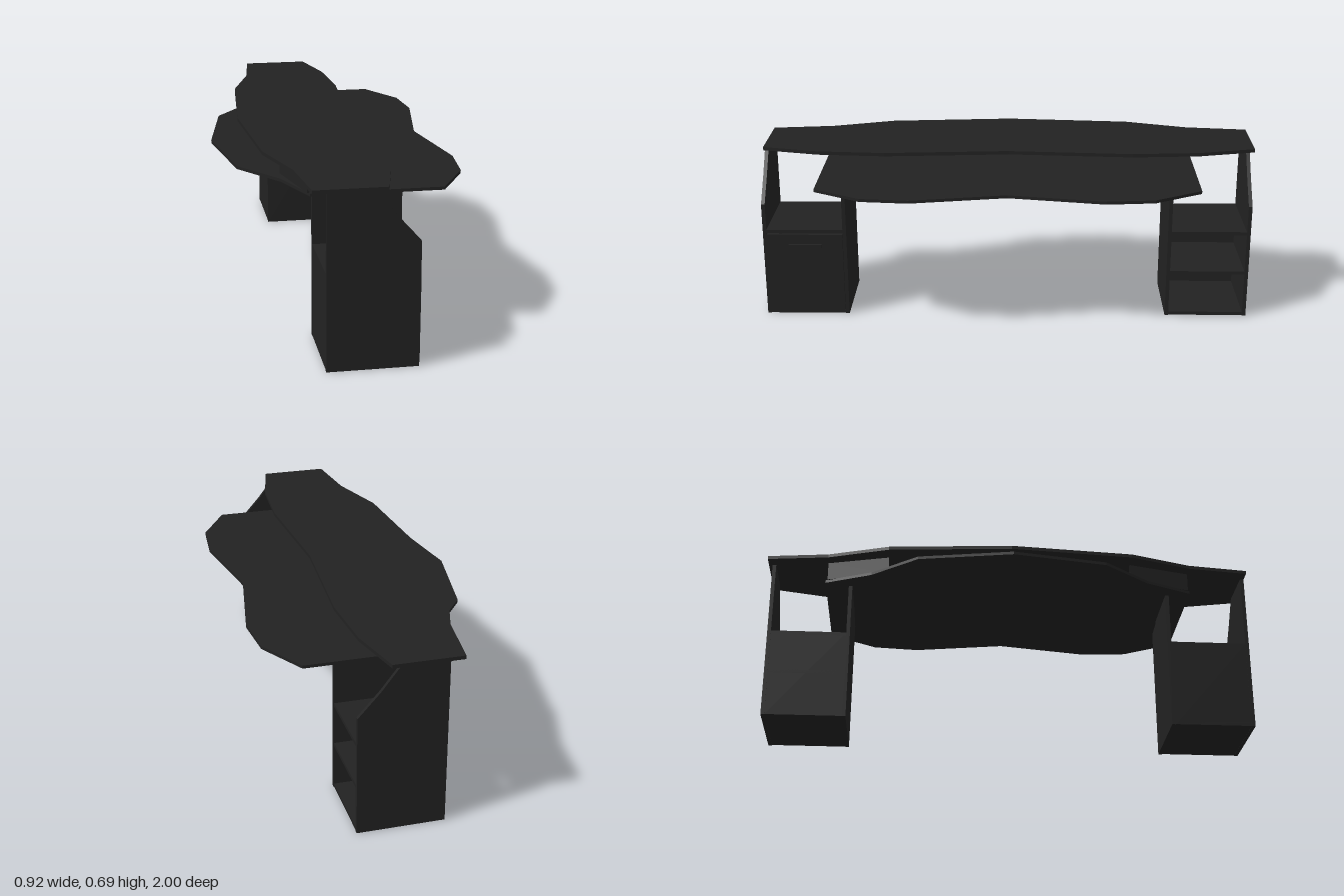
import * as THREE from 'three';

export function createModel() {
  const group = new THREE.Group();
  group.name = 'desk';
  const black = new THREE.MeshStandardMaterial({ color: 0x222222 });
  black.name = 'blackLaminate';

  const add = (name, geometry, parent = group) => {
    const mesh = new THREE.Mesh(geometry, black);
    mesh.name = name;
    parent.add(mesh);
    return mesh;
  };
  // Box given by its minimum and maximum corners
  const box = (name, a, b, parent) => {
    const mesh = add(name, new THREE.BoxGeometry(b[0] - a[0], b[1] - a[1], b[2] - a[2]), parent);
    mesh.position.set((a[0] + b[0]) / 2, (a[1] + b[1]) / 2, (a[2] + b[2]) / 2);
  };
  const extrude = (points, depth) => new THREE.ExtrudeGeometry(
    new THREE.Shape(points.map(p => new THREE.Vector2(...p))), { depth, bevelEnabled: false });

  // Horizontal slab from (x, z) outline points, with its top at y
  const slab = (name, points, top, thickness) => {
    const g = extrude(points, thickness);
    g.rotateX(Math.PI / 2);
    add(name, g).position.y = top;
  };
  // Outline symmetric about z = 0: front edge and back edge listed from z = 0 outwards
  const symmetric = (front, back) => {
    const half = [...front, ...back.slice().reverse()];
    const mirrored = half.slice(1, -1).reverse().map(([x, z]) => [x, -z]);
    return [...half, ...mirrored];
  };

  // Raised top and working surface
  slab('upperTop', symmetric(
    [[0.11, 0], [0.143, 0.5], [0.125, 0.77], [0.07, 1]],
    [[-0.35, 0], [-0.31, 0.5], [-0.23, 0.75], [-0.2, 1]]), 0.686, 0.014);
  slab('workSurface', symmetric(
    [[0.39, 0], [0.457, 0.38], [0.44, 0.57], [0.33, 0.76]],
    [[-0.46, 0], [-0.395, 0.38], [-0.25, 0.57], [-0.17, 0.76]]), 0.597, 0.012);

  // Slanted risers between the two surfaces
  for (const s of [-1, 1]) {
    slab(s > 0 ? 'leftRiser' : 'rightRiser',
      [[-0.245, s * 0.5], [-0.23, s * 0.5], [-0.165, s * 0.752], [-0.18, s * 0.752]], 0.673, 0.077);
  }

  // Pedestal: tall outer side, shorter inner side, floor, back and shelf tops
  const outer = [[-0.15, 0], [0.19, 0], [0.19, 0.48], [0.105, 0.575], [0.03, 0.673], [-0.15, 0.673]];
  const inner = [[-0.15, 0], [0.19, 0], [0.19, 0.566], [0.105, 0.575], [0.09, 0.586], [-0.15, 0.586]];
  const t = 0.015;
  const pedestal = (name, z0, z1, outerFirst, shelves) => {
    const p = new THREE.Group();
    p.name = name;
    group.add(p);
    add(outerFirst ? 'outerSide' : 'innerSide', extrude(outerFirst ? outer : inner, t), p).position.z = z0;
    add(outerFirst ? 'innerSide' : 'outerSide', extrude(outerFirst ? inner : outer, t), p).position.z = z1 - t;
    box('backPanel', [-0.149, 0.001, z0 + t], [-0.135, 0.37, z1 - t], p);
    for (const y of shelves) box('shelf', [-0.149, y - 0.014, z0 + t], [0.188, y, z1 - t], p);
    return p;
  };
  pedestal('openPedestal', -0.985, -0.65, true, [0.015, 0.197, 0.37]);
  const cabinet = pedestal('closedPedestal', 0.66, 1, false, [0.015, 0.37]);

  // Cabinet door and its bar handle
  box('door', [0.18, 0.018, 0.676], [0.195, 0.352, 0.984], cabinet);
  box('handle', [0.195, 0.298, 0.76], [0.209, 0.312, 0.895], cabinet);

  return group;
}
